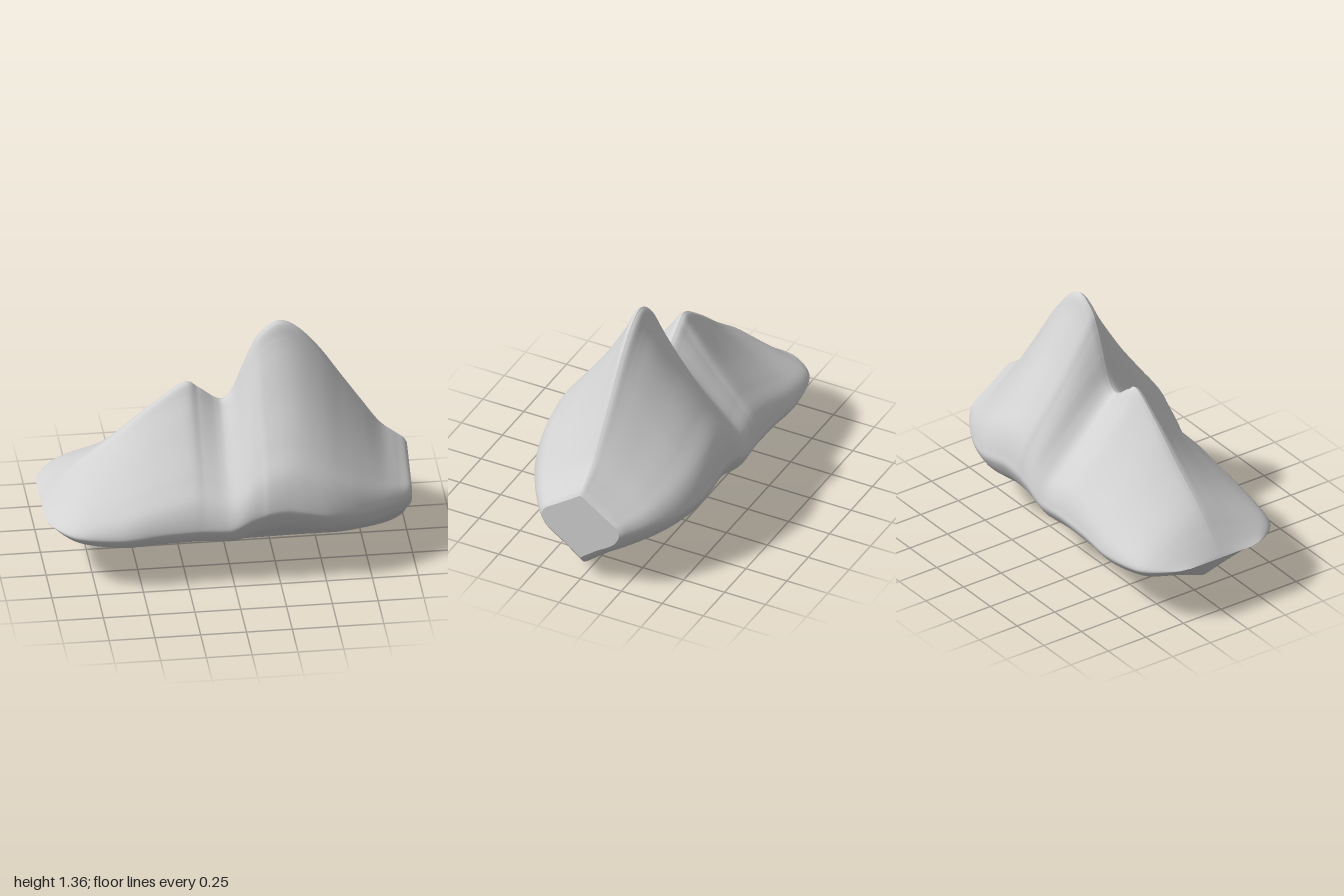
import * as THREE from 'three';
import { ParametricGeometry } from 'three/addons/geometries/ParametricGeometry.js';

// Stations along the ridge: x, ridge height, keel height, half width, height of widest line, fullness
const STATIONS = [
  [-1, 0.33, 0.33, 0.2, 0.33, 1], [-0.98, 0.355, 0.305, 0.28, 0.33, 1], [-0.9, 0.445, 0.2, 0.395, 0.33, 0.9],
  [-0.8, 0.545, 0.12, 0.45, 0.33, 0.75], [-0.6, 0.705, 0.055, 0.48, 0.33, 0.5], [-0.4, 0.88, 0.035, 0.475, 0.35, 0.25],
  [-0.22, 1.01, 0.03, 0.475, 0.36, 0.12], [-0.14, 0.975, 0.028, 0.477, 0.36, 0.2],
  [-0.05, 0.905, 0.022, 0.485, 0.36, 0.38], [0, 0.895, 0.012, 0.492, 0.37, 0.5], [0.05, 0.95, 0.002, 0.497, 0.4, 0.58],
  [0.1, 1.08, 0.01, 0.498, 0.43, 0.5], [0.15, 1.205, 0.012, 0.5, 0.45, 0.32], [0.2, 1.295, 0.012, 0.505, 0.47, 0.15],
  [0.3, 1.36, 0.014, 0.508, 0.48, 0], [0.4, 1.315, 0.015, 0.51, 0.46, 0.06], [0.52, 1.18, 0.015, 0.5, 0.43, 0.13],
  [0.64, 1, 0.016, 0.463, 0.41, 0.2], [0.75, 0.835, 0.03, 0.41, 0.39, 0.3], [0.85, 0.69, 0.048, 0.35, 0.38, 0.35],
  [0.93, 0.62, 0.075, 0.295, 0.37, 0.35], [0.98, 0.58, 0.11, 0.258, 0.37, 0.35], [1, 0.55, 0.145, 0.235, 0.37, 0.35],
];

// Half cross-section from ridge to keel: share of width (lean, full), share of height from the widest line
const SECTION = new THREE.CatmullRomCurve3([
  [0, 0, 1], [0.045, 0.07, 0.975], [0.1, 0.2, 0.9], [0.18, 0.33, 0.81], [0.41, 0.6, 0.585],
  [0.7, 0.83, 0.35], [0.91, 0.94, 0.18], [1, 1, 0], [0.98, 0.98, -0.14], [0.86, 0.87, -0.34],
  [0.66, 0.68, -0.5], [0.42, 0.45, -0.66], [0.18, 0.2, -0.85], [0.06, 0.07, -0.95], [0, 0, -1],
].map((p) => new THREE.Vector3(...p)), false, 'catmullrom', 0.5);

const curve = (pick) => new THREE.CatmullRomCurve3(
  STATIONS.map((s) => new THREE.Vector3(...pick(s))), false, 'catmullrom', 0.5);
const outline = curve(([x, top, bottom]) => [x, top, bottom]);
const girth = curve(([, , , width, mid, full]) => [full, width, mid]);

// Point on one flank: t runs along x, s runs from ridge to keel
function surfacePoint(s, t, side, target) {
  const o = outline.getPoint(t);
  const g = girth.getPoint(t);
  const p = SECTION.getPoint(s);
  const reach = p.z > 0 ? o.y - g.z : g.z - o.z;
  const spread = Math.max(0, THREE.MathUtils.lerp(p.x, p.y, g.x));
  return target.set(o.x, g.z + p.z * reach, side * spread * g.y);
}

export function createModel() {
  const model = new THREE.Group();
  model.name = 'twinPeakRock';
  const stone = new THREE.MeshStandardMaterial({ color: 0xd2d2d2 });
  stone.name = 'grey stone';

  // Two flanks meet in a sharp crease along the ridge and keel
  for (const side of [1, -1]) {
    const geometry = new ParametricGeometry(
      (s, t, target) => surfacePoint(side > 0 ? s : 1 - s, t, side, target), 56, 132);
    const flank = new THREE.Mesh(geometry, stone);
    flank.name = side > 0 ? 'frontFlank' : 'backFlank';
    model.add(flank);
  }

  // Flat diamond face closing the +x end
  const rim = [];
  const v = new THREE.Vector3();
  for (let i = 0; i < 112; i++) {
    const side = i < 56 ? 1 : -1;
    surfacePoint(side > 0 ? i / 56 : (112 - i) / 56, 1, side, v);
    rim.push(new THREE.Vector2(-v.z, v.y));
  }
  const cap = new THREE.Mesh(new THREE.ShapeGeometry(new THREE.Shape(rim)).rotateY(Math.PI / 2), stone);
  cap.position.x = 1;
  cap.name = 'endFace';
  model.add(cap);

  return model;
}
